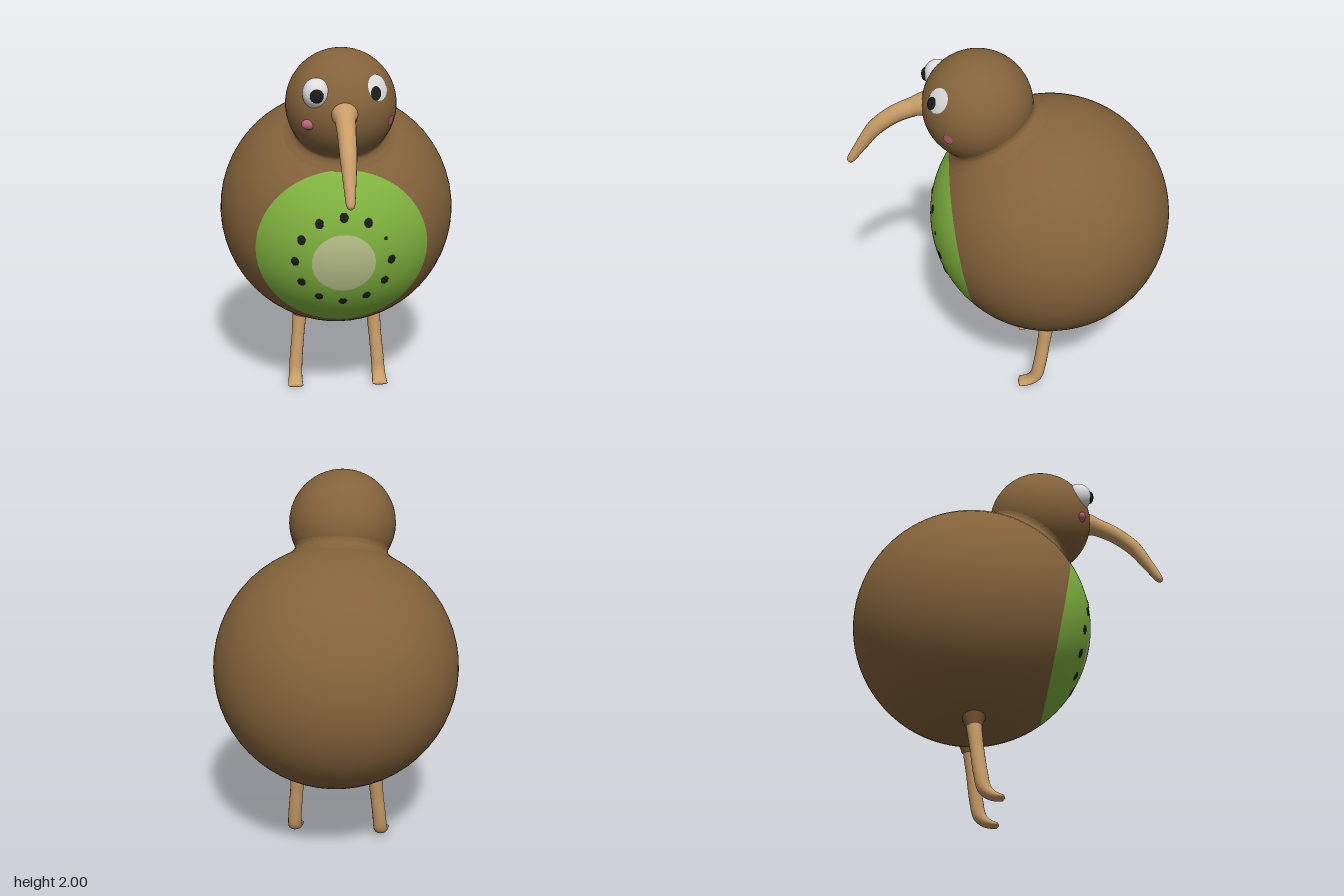
import * as THREE from 'three';
import { mergeVertices } from 'three/addons/utils/BufferGeometryUtils.js';

const material = (name, color, side = THREE.FrontSide) => {
  const m = new THREE.MeshStandardMaterial({ color, side });
  m.name = name;
  return m;
};
const V = (x, y, z) => new THREE.Vector3(x, y, z);
const UP = V(0, 1, 0);

// Tapered tube along points; each radius is [sideways, other directions]
function taperedTube(points, radii, steps = 40, sides = 16) {
  const curve = new THREE.CatmullRomCurve3(points.map((p) => V(...p)));
  const geo = new THREE.TubeGeometry(curve, steps, 1, sides);
  const pos = geo.attributes.position;
  const p = V(0, 0, 0);
  for (let i = 0; i <= steps; i++) {
    const c = curve.getPointAt(i / steps);
    const s = curve.getUtoTmapping(i / steps) * (radii.length - 1);
    const k = Math.min(Math.floor(s), radii.length - 2);
    const wide = THREE.MathUtils.lerp(radii[k][0], radii[k + 1][0], s - k);
    const thick = THREE.MathUtils.lerp(radii[k][1], radii[k + 1][1], s - k);
    for (let j = 0; j <= sides; j++) {
      const n = i * (sides + 1) + j;
      p.fromBufferAttribute(pos, n).sub(c).multiply(V(wide, thick, thick)).add(c);
      pos.setXYZ(n, p.x, p.y, p.z);
    }
  }
  geo.deleteAttribute('uv');
  geo.deleteAttribute('normal');
  const merged = mergeVertices(geo, 1e-5);
  merged.computeVertexNormals();
  return merged;
}

export function createModel() {
  const brown = material('brown plumage', 0x84633b);
  const green = material('fruit green', 0x82b640);
  const cream = material('fruit core cream', 0xbcc48c);
  const black = material('seed black', 0x1c1c1c);
  const white = material('eye white', 0xdedede);
  const tan = material('beak and leg tan', 0xc89d68, THREE.DoubleSide);
  const pink = material('cheek pink', 0xbd637a);

  const model = new THREE.Group();
  model.name = 'kiwiBird';
  const add = (parent, name, geo, mat, x = 0, y = 0, z = 0) => {
    const mesh = new THREE.Mesh(geo, mat);
    mesh.name = name;
    mesh.position.set(x, y, z);
    parent.add(mesh);
    return mesh;
  };

  // Body: one sphere in three bands around the belly axis
  const R = 0.643;
  const bodyCentre = V(0, 1.041, -0.212);
  const body = new THREE.Group();
  body.name = 'body';
  body.position.copy(bodyCentre);
  body.rotation.x = 1.747;
  model.add(body);
  const band = (from, to, rows) => new THREE.SphereGeometry(R, 56, rows, 0, Math.PI * 2, from, to - from);
  const core = 0.26, rim = 0.78;
  add(body, 'bellyCore', band(0, core, 6), cream);
  add(body, 'bellyFlesh', band(core, rim, 10), green);
  add(body, 'plumage', band(rim, Math.PI, 36), brown);

  // Ring of seeds lying on the belly
  for (let i = 0; i < 12; i++) {
    const a = (i / 12) * Math.PI * 2, tilt = 0.4;
    const dir = V(Math.sin(tilt) * Math.sin(a), Math.cos(tilt), -Math.sin(tilt) * Math.cos(a));
    const seed = add(body, 'seed', new THREE.SphereGeometry(1, 14, 8), black);
    seed.position.copy(dir).multiplyScalar(R);
    seed.quaternion.setFromUnitVectors(UP, dir);
    const size = i === 2 ? 0.4 : 1;
    seed.scale.set(0.022 * size, 0.004, 0.026 * size);
  }

  // Head and the soft crease joining it to the body
  const r = 0.285;
  const headCentre = V(0, 1.717, 0.165);
  const head = new THREE.Group();
  head.name = 'head';
  head.position.copy(headCentre);
  model.add(head);
  add(head, 'skull', new THREE.SphereGeometry(r, 48, 32), brown);

  const neckProfile = [[0.305, 0.563], [0.268, 0.591], [0.25, 0.61], [0.247, 0.628], [0.256, 0.653]];
  const neck = add(model, 'neckCrease',
    new THREE.LatheGeometry(neckProfile.map(([x, y]) => new THREE.Vector2(x, y)), 48), brown);
  neck.position.copy(bodyCentre);
  neck.quaternion.setFromUnitVectors(UP, headCentre.clone().sub(bodyCentre).normalize());

  // Thin round patch following the head's surface
  const headPatch = (name, mat, dir, size, lift, narrow = 1) => {
    const patch = add(head, name,
      new THREE.SphereGeometry(r + lift, 24, 6, 0, Math.PI * 2, 0, size / r), mat);
    patch.scale.x = narrow;
    patch.quaternion.setFromUnitVectors(UP, V(...dir).normalize());
  };

  // Left eye and cheek are flat, right eye and cheek bulge outward
  headPatch('leftEye', white, [0.17, 0.122, 0.19], 0.07, 0.004, 0.88);
  headPatch('leftPupil', black, [0.158, 0.1, 0.222], 0.036, 0.008, 0.85);
  headPatch('leftCheek', pink, [0.24, -0.057, 0.14], 0.028, 0.004);

  const rightEye = add(head, 'rightEye', new THREE.SphereGeometry(0.07, 24, 16), white, -0.136, 0.101, 0.208);
  rightEye.scale.y = 1.1;
  const rightPupil = add(head, 'rightPupil', new THREE.SphereGeometry(0.034, 20, 12), black, -0.136, 0.1, 0.272);
  rightPupil.scale.z = 0.55;
  const rightCheek = add(head, 'rightCheek', new THREE.SphereGeometry(0.036, 20, 12), pink, -0.175, -0.053, 0.216);
  rightCheek.scale.set(1, 0.75, 0.6);

  // Long downward-curving beak
  add(model, 'beak', taperedTube(
    [[0, 1.725, 0.39], [0, 1.72, 0.44], [0, 1.705, 0.49], [0, 1.66, 0.59], [0, 1.58, 0.695],
      [0, 1.48, 0.77], [0, 1.39, 0.832], [0, 1.372, 0.845], [0, 1.367, 0.849]],
    [[0.078, 0.078], [0.066, 0.062], [0.052, 0.05], [0.046, 0.046], [0.042, 0.042],
      [0.032, 0.032], [0.022, 0.022], [0.014, 0.014], [0, 0]], 60), tan);

  // Legs with flat forward-turned feet
  for (const [side, s] of [['left', 1], ['right', -1]]) {
    add(model, side + 'Leg', taperedTube(
      [[0.205 * s, 0.47, -0.208], [0.212 * s, 0.4, -0.203], [0.222 * s, 0.28, -0.188], [0.235 * s, 0.14, -0.168],
        [0.24 * s, 0.06, -0.148], [0.242 * s, 0.026, -0.11], [0.242 * s, 0.013, -0.055], [0.242 * s, 0.013, -0.045]],
      [[0.046, 0.046], [0.04, 0.04], [0.036, 0.036], [0.037, 0.037],
        [0.038, 0.036], [0.04, 0.026], [0.044, 0.011], [0, 0]], 50), tan);
    add(model, side + 'LegCollar', new THREE.CylinderGeometry(0.068, 0.042, 0.07, 24, 1, true), brown,
      0.207 * s, 0.427, -0.205);
  }
  return model;
}
